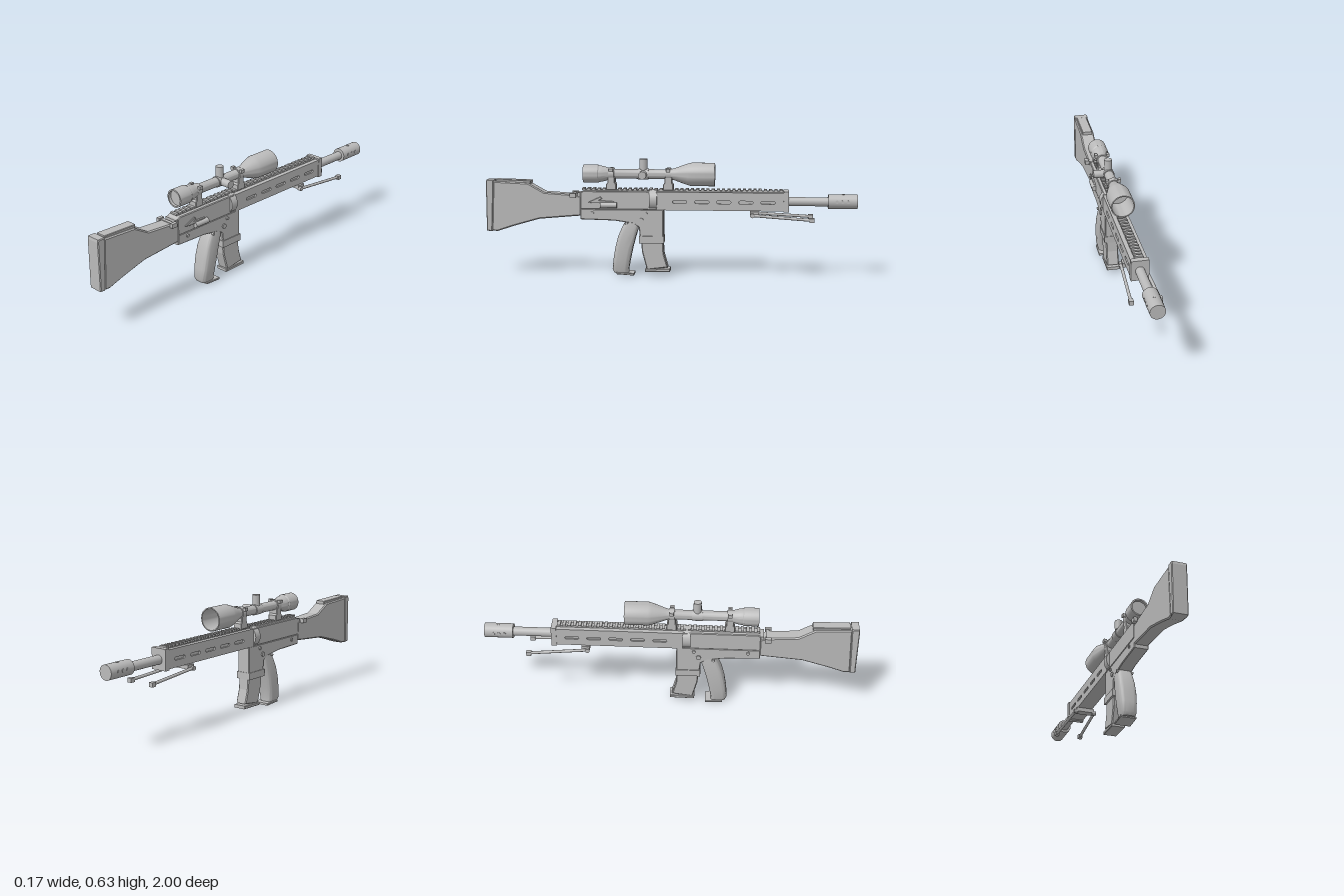
import * as THREE from 'three';
import { toCreasedNormals } from 'three/addons/utils/BufferGeometryUtils.js';

const gray = new THREE.MeshStandardMaterial({ color: 0xbababa });
gray.name = 'gunmetalGray';

export function createModel() {
  const model = new THREE.Group();
  model.name = 'scopedRifle';

  const add = (name, geo, x = 0, y = 0, z = 0) => {
    const mesh = new THREE.Mesh(geo, gray);
    mesh.name = name;
    mesh.position.set(x, y, z);
    model.add(mesh);
    return mesh;
  };
  // box given by its ranges along y and z, and its half width or x range
  const box = (name, x0, x1, y0, y1, z0, z1) =>
    add(name, new THREE.BoxGeometry(x1 - x0, y1 - y0, z1 - z0), (x0 + x1) / 2, (y0 + y1) / 2, (z0 + z1) / 2);
  const cyl = (name, r, len, axis, x, y, z, sides = 24) => {
    const g = new THREE.CylinderGeometry(r, r, len, sides);
    if (axis === 'z') g.rotateX(Math.PI / 2);
    if (axis === 'x') g.rotateZ(Math.PI / 2);
    return add(name, g, x, y, z);
  };
  // side profile of [z, y] points, extruded symmetrically along x
  const slab = (name, pts, half, bevel = 0.004, x = 0, holes = []) => {
    const shape = new THREE.Shape(pts.map(p => new THREE.Vector2(...p)));
    shape.holes.push(...holes);
    const g = new THREE.ExtrudeGeometry(shape, {
      depth: 2 * (half - bevel), bevelEnabled: bevel > 0, bevelSize: bevel,
      bevelThickness: bevel, bevelOffset: -bevel, bevelSegments: 1, curveSegments: 6,
    });
    g.translate(0, 0, -(half - bevel));
    g.rotateY(-Math.PI / 2);
    return add(name, g, x);
  };
  // turned part along z, from [radius, z] points with z rising on the outside
  const turned = (name, pts, y) => {
    const g = new THREE.LatheGeometry(pts.map(p => new THREE.Vector2(...p)), 40);
    g.rotateX(Math.PI / 2);
    return add(name, toCreasedNormals(g, 0.5), 0, y, 0);
  };

  // Stock
  slab('stock', [[0.48, 0.325], [0.48, 0.43], [0.53, 0.44], [0.68, 0.45], [0.77, 0.50], [0.96, 0.508],
    [0.972, 0.237], [0.94, 0.235], [0.85, 0.265], [0.71, 0.305]].reverse(), 0.039, 0.006);
  slab('buttPad', [[0.957, 0.515], [0.997, 0.515], [1.0, 0.5], [1.0, 0.237], [0.97, 0.234]].reverse(), 0.04, 0.004);
  slab('cheekRest', [[0.755, 0.495], [0.755, 0.513], [0.95, 0.518], [0.95, 0.5]].reverse(), 0.029, 0.003);
  box('slingBar', -0.05, 0.05, 0.43, 0.444, 0.512, 0.53);
  for (const s of [-1, 1]) add('slingLug', new THREE.BoxGeometry(0.02, 0.024, 0.034), s * 0.05, 0.437, 0.523);
  box('stockCollar', -0.036, 0.036, 0.34, 0.45, 0.475, 0.50);

  // Receiver
  slab('upperReceiver', [[0.485, 0.36], [0.485, 0.45], [0.47, 0.46], [0.07, 0.46], [0.07, 0.36]].reverse(), 0.04);
  slab('lowerReceiver', [[0.485, 0.305], [0.485, 0.362], [0.035, 0.362], [0.035, 0.19], [0.16, 0.19],
    [0.168, 0.265], [0.2, 0.285], [0.3, 0.30]].reverse(), 0.039);
  box('magazineWellCollar', -0.043, 0.043, 0.178, 0.217, 0.032, 0.166);
  cyl('barrelNut', 0.058, 0.042, 'z', 0, 0.412, 0.09, 32);
  for (const s of [-1, 1]) {
    for (const [z, y, r] of [[0.155, 0.303, 0.013], [0.13, 0.34, 0.009], [0.42, 0.34, 0.009], [0.235, 0.285, 0.008]])
      cyl('receiverPin', r, 0.012, 'x', s * 0.04, y, z, 16);
  }

  // Bolt handle and ejection cover on the left
  slab('ejectionCover', [[0.44, 0.40], [0.375, 0.43], [0.365, 0.42], [0.385, 0.41], [0.3, 0.405], [0.3, 0.395], [0.42, 0.395]].reverse(), 0.006, 0.002, 0.043);
  cyl('boltHandle', 0.015, 0.09, 'z', 0.048, 0.385, 0.33);
  cyl('boltStem', 0.01, 0.03, 'x', 0.038, 0.385, 0.36, 16);

  // Magazine
  slab('magazine', [[0.157, 0.2], [0.152, 0.13], [0.125, 0.03], [0.012, 0.045], [0.033, 0.12], [0.038, 0.2]], 0.033, 0.005);
  slab('magazineBase', [[0.135, 0.018], [0.135, 0.034], [0, 0.038], [0, 0.02]].reverse(), 0.037, 0.003);

  // Grip: rounded sections of [y, back z, front z, half width]
  const sections = [[0.012, 0.305, 0.225, 0.036], [0.03, 0.314, 0.226, 0.041], [0.09, 0.308, 0.215, 0.046],
    [0.15, 0.298, 0.202, 0.048], [0.21, 0.283, 0.186, 0.046], [0.26, 0.262, 0.17, 0.042], [0.30, 0.24, 0.162, 0.037]];
  const n = 28, pos = [], idx = [];
  for (const [y, b, f, w] of sections) {
    for (let i = 0; i < n; i++) {
      const a = (i / n) * Math.PI * 2, c = Math.cos(a), s = Math.sin(a);
      pos.push(Math.sign(c) * Math.abs(c) ** 0.45 * w, y, (b + f) / 2 + Math.sign(s) * Math.abs(s) ** 0.45 * (b - f) / 2);
    }
  }
  for (let j = 0; j < sections.length - 1; j++) {
    for (let i = 0; i < n; i++) {
      const a = j * n + i, b = j * n + (i + 1) % n;
      idx.push(a, a + n, b, b, a + n, b + n);
    }
  }
  for (let i = 1; i < n - 1; i++) idx.push(0, i, i + 1);
  const gripGeo = new THREE.BufferGeometry();
  gripGeo.setAttribute('position', new THREE.Float32BufferAttribute(pos, 3));
  gripGeo.setIndex(idx);
  add('pistolGrip', toCreasedNormals(gripGeo, 0.7));
  slab('gripBase', [[0.29, 0.006], [0.29, 0.016], [0.195, 0.012], [0.195, 0]].reverse(), 0.044, 0.002);

  // Handguard with slotted side panels
  box('handguardCore', -0.034, 0.034, 0.36, 0.458, -0.62, 0.075);
  const slots = () => [-0.053, -0.172, -0.289, -0.407, -0.525].map(z => {
    const p = new THREE.Path();
    p.absarc(z + 0.03, 0.405, 0.008, -Math.PI / 2, Math.PI / 2);
    p.absarc(z - 0.03, 0.405, 0.008, Math.PI / 2, Math.PI * 1.5);
    return p;
  });
  for (const s of [-1, 1])
    slab('handguardPanel', [[-0.62, 0.36], [0.07, 0.36], [0.07, 0.458], [-0.62, 0.458]], 0.005, 0, s * 0.038, slots());
  box('handguardEndPlate', -0.046, 0.046, 0.354, 0.466, -0.636, -0.608);

  // Top rail with evenly spaced teeth
  box('railBase', -0.018, 0.018, 0.455, 0.465, -0.615, 0.47);
  for (let z = -0.595; z < 0.47; z += 0.028) box('railTooth', -0.023, 0.023, 0.463, 0.473, z - 0.008, z + 0.008);

  // Barrel and muzzle brake
  cyl('barrel', 0.024, 0.3, 'z', 0, 0.408, -0.74);
  cyl('muzzleBrake', 0.039, 0.155, 'z', 0, 0.41, -0.9225, 32);
  for (const z of [-0.89, -0.92, -0.95])
    for (const s of [-1, 1]) cyl('brakePort', 0.009, 0.004, 'x', s * 0.038, 0.412, z, 12);
  cyl('topPort', 0.009, 0.004, 'y', 0, 0.448, -0.925, 12);

  // Folded bipod
  box('bipodBracket', -0.052, 0.052, 0.335, 0.358, -0.475, -0.43);
  for (const s of [-1, 1]) {
    const path = new THREE.LineCurve3(new THREE.Vector3(s * 0.055, 0.338, -0.435), new THREE.Vector3(s * 0.072, 0.318, -0.755));
    add('bipodLeg', new THREE.TubeGeometry(path, 1, 0.008, 12));
    cyl('bipodPivot', 0.012, 0.022, 'x', s * 0.054, 0.337, -0.442, 16);
    add('bipodFoot', new THREE.BoxGeometry(0.023, 0.023, 0.026), s * 0.072, 0.317, -0.758);
  }

  // Telescopic sight with an open front bell and a recessed eyepiece
  const sy = 0.55;
  turned('scopeBody', [[0, -0.1], [0.057, -0.1], [0.057, -0.24], [0.063, -0.24], [0.063, -0.115], [0.058, -0.095],
    [0.044, -0.055], [0.033, -0.025], [0.026, 0], [0.026, 0.31], [0.032, 0.33], [0.042, 0.365], [0.045, 0.385],
    [0.049, 0.39], [0.049, 0.47], [0.041, 0.47], [0.041, 0.455], [0, 0.455]], sy);
  cyl('turretSaddle', 0.03, 0.055, 'z', 0, sy, 0.145);
  cyl('elevationTurret', 0.021, 0.062, 'y', 0, 0.601, 0.145);
  cyl('windageTurret', 0.021, 0.062, 'x', 0.051, sy, 0.145);
  for (const z of [0.318, 0.01]) {
    slab('scopeMount', [[z - 0.027, 0.465], [z + 0.027, 0.465], [z + 0.027, 0.495], [z + 0.02, 0.505],
      [z + 0.02, 0.535], [z - 0.02, 0.535], [z - 0.02, 0.505], [z - 0.027, 0.495]], 0.027, 0.003);
    cyl('scopeRing', 0.033, 0.03, 'z', 0, sy, z);
    for (const s of [-1, 1]) add('ringClamp', new THREE.BoxGeometry(0.016, 0.018, 0.022), s * 0.033, 0.572, z);
  }
  return model;
}
